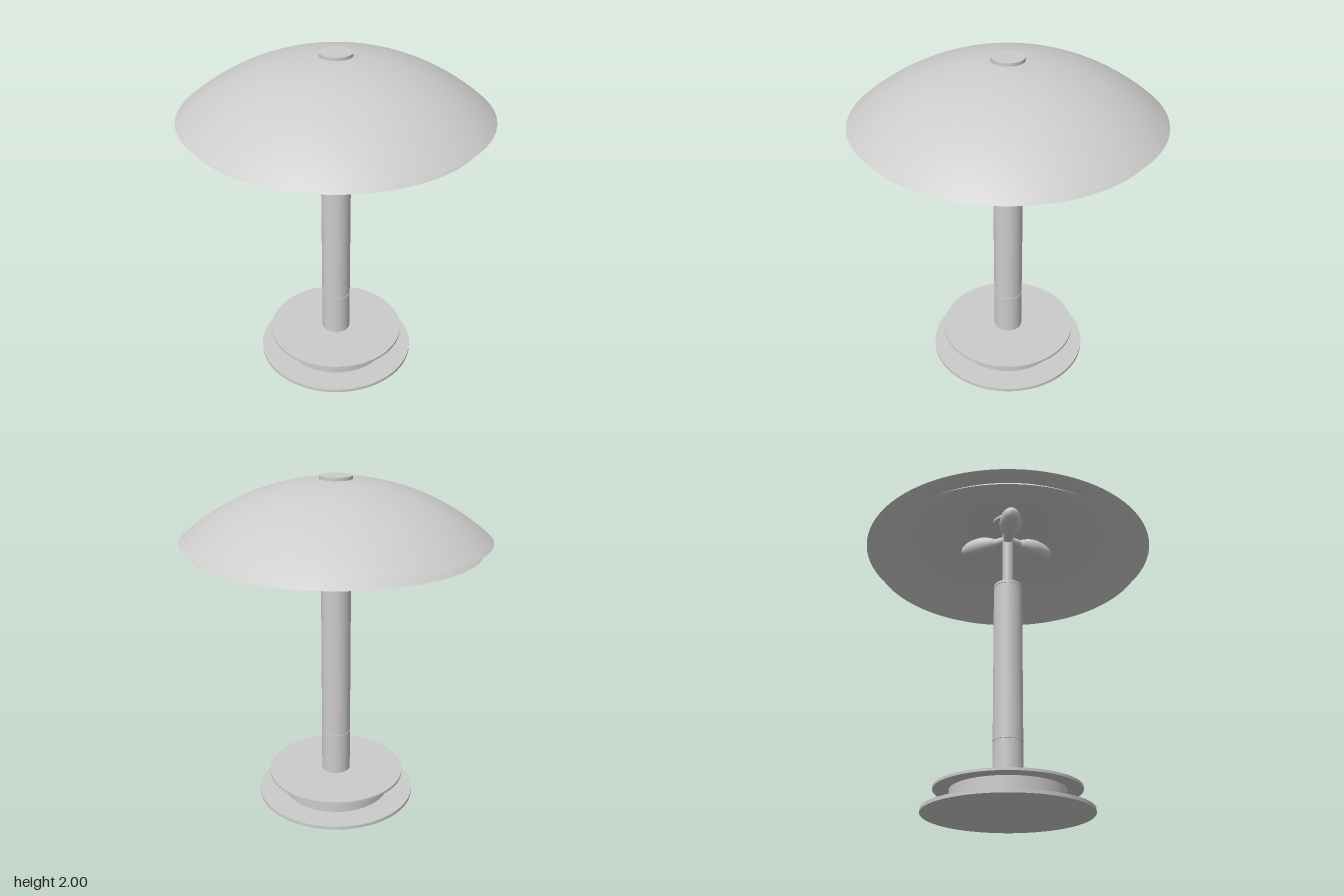
import * as THREE from 'three';

export function createModel() {
  const model = new THREE.Group();
  const material = new THREE.MeshStandardMaterial({ color: 0xcccccc });
  const sheet = new THREE.MeshStandardMaterial({ color: 0xcccccc, side: THREE.DoubleSide });

  function add(name, geometry, parent = model, mat = material) {
    const mesh = new THREE.Mesh(geometry, mat);
    mesh.name = name;
    parent.add(mesh);
    return mesh;
  }

  // Upright cylinder between two heights
  function disc(name, radius, y0, y1, segments = 96) {
    const mesh = add(name, new THREE.CylinderGeometry(radius, radius, y1 - y0, segments));
    mesh.position.y = (y0 + y1) / 2;
    return mesh;
  }

  // Thin spherical dome given by rim radius, rim height and crown height
  function dome(name, rim, y0, y1) {
    const sag = y1 - y0;
    const R = (rim * rim + sag * sag) / (2 * sag);
    const end = Math.asin(rim / R);
    const points = [];
    for (let i = 0; i <= 32; i++) {
      const a = end * (1 - i / 32);
      points.push(new THREE.Vector2(R * Math.sin(a), y1 - R + R * Math.cos(a)));
    }
    return add(name, new THREE.LatheGeometry(points, 128), model, sheet);
  }

  // Base: two plates with a drum between them
  disc('basePlate', 0.485, 0, 0.02, 128);
  disc('baseDrum', 0.33, 0.02, 0.132);
  disc('upperBasePlate', 0.42, 0.132, 0.147, 128);

  // Column in sections separated by fine grooves
  disc('lowerColumn', 0.088, 0.147, 0.412, 64);
  disc('columnGroove', 0.084, 0.412, 0.418, 64);
  disc('upperColumn', 0.088, 0.418, 1.414, 64);
  disc('collarGroove', 0.084, 1.414, 1.42, 64);
  disc('columnCollar', 0.088, 1.42, 1.437, 64);

  // Stem carrying the shades
  disc('stem', 0.035, 1.437, 1.985, 32);
  disc('shadeHolder', 0.095, 1.9, 1.94, 64);

  // Double shade and finial
  dome('innerShade', 0.84, 1.59, 1.92);
  dome('outerShade', 0.89, 1.65, 1.985);
  disc('finialCap', 0.095, 1.975, 2, 64);

  // Three bulbs set around the stem
  const bulbProfile = new THREE.SplineCurve([
    [0.03, 0.085], [0.045, 0.11], [0.062, 0.16], [0.066, 0.21],
    [0.058, 0.27], [0.035, 0.32], [0, 0.34],
  ].map(([r, d]) => new THREE.Vector2(r, d))).getPoints(28);
  bulbProfile.forEach((p) => { p.x = Math.max(0, p.x); });

  for (let i = 0; i < 3; i++) {
    const lamp = new THREE.Group();
    lamp.name = 'bulbArm' + (i + 1);
    const socket = add('socket', new THREE.CylinderGeometry(0.032, 0.032, 0.1, 32), lamp);
    socket.position.y = 0.05;
    add('bulb', new THREE.LatheGeometry(bulbProfile, 40), lamp);
    const angle = Math.PI / 6 + (i * Math.PI * 2) / 3;
    const direction = new THREE.Vector3(Math.cos(angle), 0, Math.sin(angle));
    lamp.quaternion.setFromUnitVectors(new THREE.Vector3(0, 1, 0), direction);
    lamp.position.y = 1.775;
    model.add(lamp);
  }

  return model;
}
